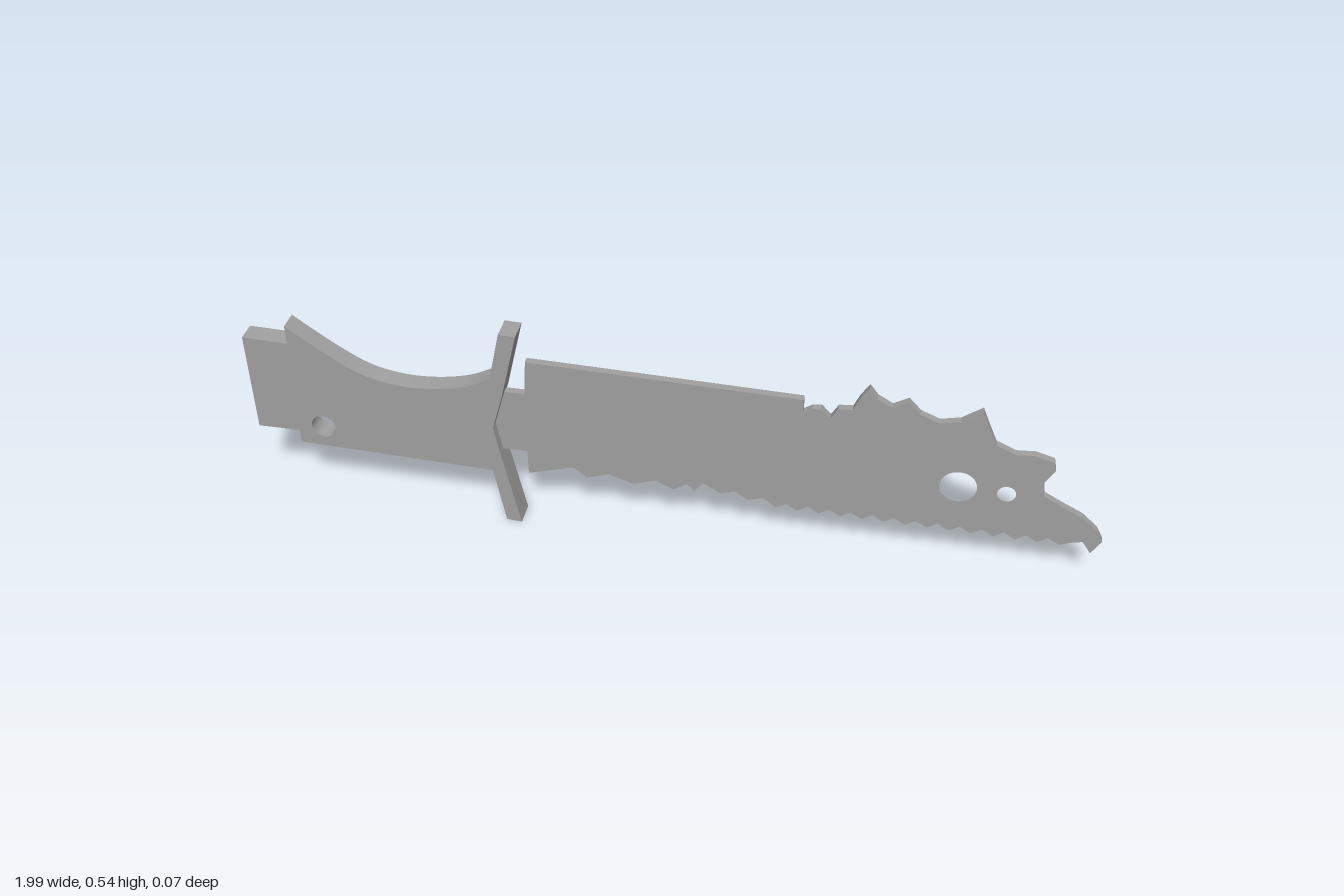
import * as THREE from 'three';

// Flat outline extruded symmetrically about z, with round holes [x, y, radius].
function plate(name, shape, depth, z, material, holes = []) {
  for (const [x, y, r] of holes) {
    const hole = new THREE.Path();
    hole.absarc(x, y, r, 0, Math.PI * 2, true);
    shape.holes.push(hole);
  }
  const geo = new THREE.ExtrudeGeometry(shape, { depth, bevelEnabled: false, curveSegments: 16 });
  geo.translate(0, 0, z - depth / 2);
  const mesh = new THREE.Mesh(geo, material);
  mesh.name = name;
  return mesh;
}

const toPoints = (list) => list.map(([x, y]) => new THREE.Vector2(x, y));

export function createModel() {
  const steel = new THREE.MeshStandardMaterial({ color: 0xa0a0a0 });
  steel.name = 'grey steel';

  // Grip: stepped pommel, concave upper edge
  const grip = new THREE.Shape();
  grip.moveTo(-0.997, 0.2);
  grip.lineTo(-0.895, 0.2);
  grip.lineTo(-0.895, 0.165);
  grip.lineTo(-0.415, 0.147);
  grip.lineTo(-0.43, 0.28);
  grip.lineTo(-0.408, 0.415);
  grip.splineThru(toPoints([[-0.47, 0.385], [-0.55, 0.368], [-0.63, 0.367], [-0.71, 0.385], [-0.79, 0.43], [-0.888, 0.5]]));
  grip.lineTo(-0.888, 0.452);
  grip.lineTo(-0.997, 0.456);
  grip.closePath();

  // Guard: thin chevron bar
  const guard = new THREE.Shape(toPoints([
    [-0.393, 0.003], [-0.356, 0], [-0.393, 0.187], [-0.409, 0.278], [-0.382, 0.37],
    [-0.34, 0.542], [-0.379, 0.544], [-0.408, 0.415], [-0.435, 0.278], [-0.417, 0.147],
  ]));

  // Blade: tang, spine, ragged hooks, nose, then the saw edge
  const spine = [
    [-0.337, 0.203], [-0.41, 0.203], [-0.41, 0.37], [-0.334, 0.37], [-0.328, 0.46],
    [0.305, 0.44], [0.305, 0.405], [0.325, 0.418], [0.345, 0.42], [0.366, 0.397],
    [0.382, 0.425], [0.414, 0.428], [0.428, 0.46], [0.447, 0.49], [0.466, 0.465],
    [0.5, 0.445], [0.534, 0.465], [0.562, 0.435], [0.605, 0.417], [0.65, 0.427],
    [0.695, 0.46], [0.712, 0.42], [0.732, 0.375], [0.778, 0.354], [0.82, 0.357],
    [0.863, 0.344], [0.868, 0.322], [0.848, 0.285], [0.853, 0.247], [0.892, 0.225],
    [0.944, 0.198], [0.98, 0.165], [0.997, 0.135], [0.976, 0.097], [0.955, 0.128], [0.932, 0.122],
  ];
  const teeth = [];
  for (let i = 0; i < 13; i++) {
    const x = 0.905 - i * 0.05;
    const y = 0.111 + i * 0.0007;
    teeth.push([x, y], [x - 0.026, y + 0.016]);
  }
  const heel = [
    [0.255, 0.122], [0.225, 0.145], [0.19, 0.134], [0.157, 0.155], [0.125, 0.144],
    [0.083, 0.168], [0.062, 0.142], [0.045, 0.16], [0.013, 0.139], [-0.03, 0.16],
    [-0.083, 0.142], [-0.142, 0.161], [-0.195, 0.144], [-0.227, 0.17], [-0.337, 0.137],
  ];
  const blade = new THREE.Shape(toPoints([...spine, ...teeth, ...heel]));

  const body = new THREE.Group();
  body.name = 'knife';
  body.add(
    plate('grip', grip, 0.049, 0.0035, steel, [[-0.831, 0.22, 0.03]]),
    plate('guard', guard, 0.059, 0.004, steel),
    plate('blade', blade, 0.018, 0.0015, steel, [[0.663, 0.246, 0.042], [0.771, 0.241, 0.021]]),
  );
  // The knife leans very slightly
  body.children.forEach((part) => part.geometry.translate(0, -0.272, 0));
  body.position.y = 0.272;
  body.rotation.set(0.013, -0.0075, 0);

  const model = new THREE.Group();
  model.add(body);
  return model;
}
